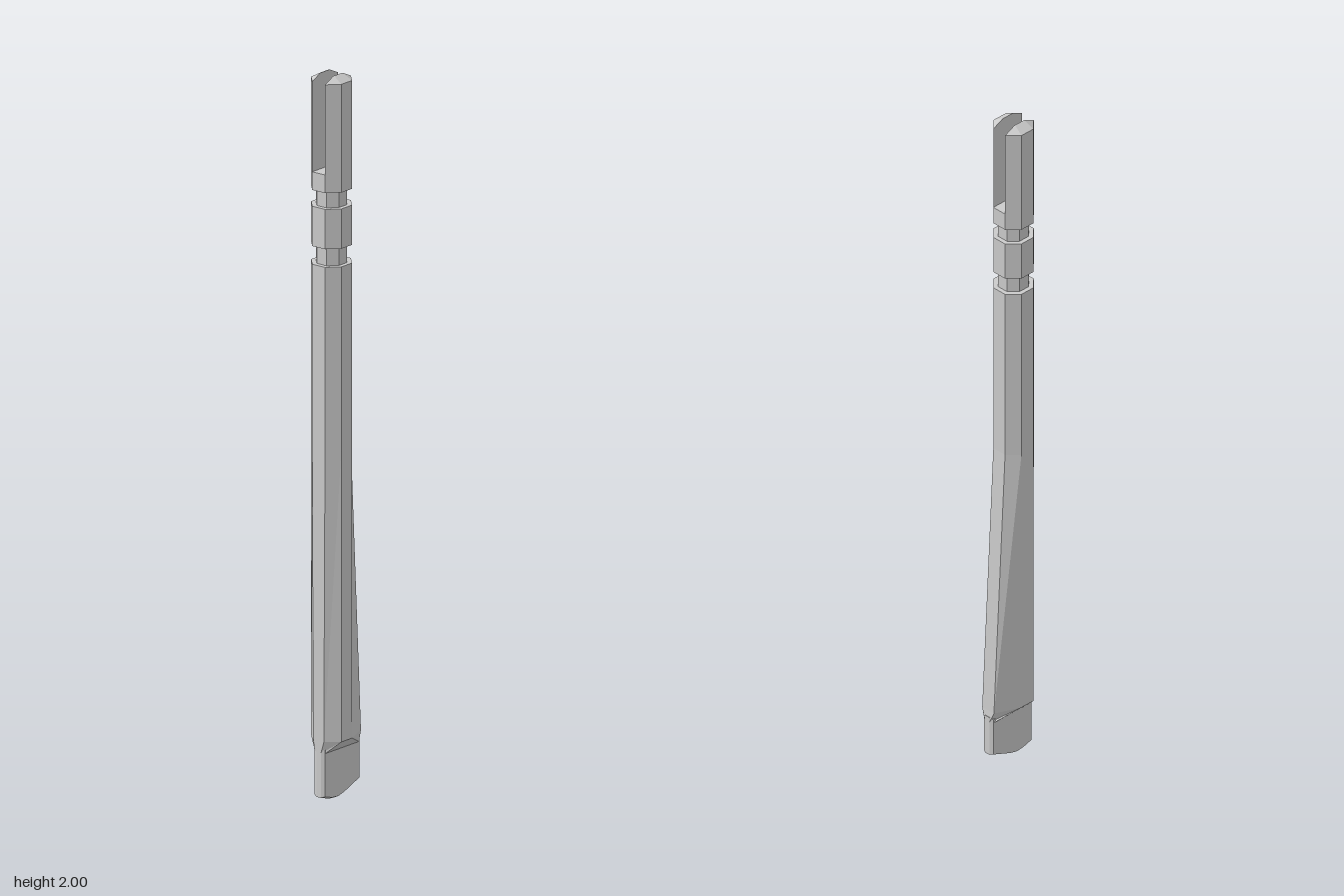
import * as THREE from 'three';

const material = new THREE.MeshStandardMaterial({ color: 0xcccccc, flatShading: true });

// Skin a list of rings of [x, y, z] (bottom to top, counterclockwise from above), capped at both ends
function loft(name, rings) {
  const pos = [];
  const tri = (a, b, c) => pos.push(...a, ...b, ...c);
  const n = rings[0].length;
  for (let r = 0; r < rings.length - 1; r++) {
    const lo = rings[r], hi = rings[r + 1];
    for (let i = 0; i < n; i++) {
      const j = (i + 1) % n;
      tri(lo[i], lo[j], hi[j]);
      tri(lo[i], hi[j], hi[i]);
    }
  }
  const bottom = rings[0], top = rings[rings.length - 1];
  for (let i = 1; i < n - 1; i++) {
    tri(bottom[0], bottom[i + 1], bottom[i]);
    tri(top[0], top[i], top[i + 1]);
  }
  const geo = new THREE.BufferGeometry();
  geo.setAttribute('position', new THREE.Float32BufferAttribute(pos, 3));
  geo.computeVertexNormals();
  const mesh = new THREE.Mesh(geo, material);
  mesh.name = name;
  return mesh;
}

// Mirror a half outline of [x, z], listed front to back, into a full ring at height y
function ring(y, half) {
  const right = half.map(([x, z]) => [x, y, z]);
  const left = half.map(([x, z]) => [-x, y, z]).reverse();
  return [...right, ...left];
}

const OCTAGON = [[0.022, 0.074], [0.052, 0.043], [0.052, -0.001], [0.022, -0.032]];
const GROOVE = OCTAGON.map(([x, z]) => [x * 0.76, 0.021 + (z - 0.021) * 0.76]);

export function createModel() {
  const model = new THREE.Group();
  model.name = 'slottedBit';

  // Shaft: octagonal above, swelling to the back below, then pinched into the blade
  model.add(loft('shaft', [
    ring(0.135, [[0.008, 0.074], [0.018, 0.068], [0.018, -0.07], [0.008, -0.076]]),
    ring(0.168, [[0.018, 0.074], [0.052, 0.043], [0.052, -0.001], [0.022, -0.073]]),
    ring(0.97, OCTAGON),
    ring(1.48, OCTAGON),
  ]));

  // Blade: thin bevelled plate with a rounded, slanted lower edge
  const outline = new THREE.Shape([
    [-0.076, 0.15], [-0.076, 0.032], [-0.01, 0.006], [0.015, 0], [0.04, 0.002], [0.074, 0.012], [0.074, 0.15],
  ].map(([z, y]) => new THREE.Vector2(z, y)));
  const bladeGeo = new THREE.ExtrudeGeometry(outline, {
    depth: 0.016, bevelThickness: 0.01, bevelSize: 0.005, bevelOffset: -0.005, bevelSegments: 1,
  });
  bladeGeo.translate(0, 0, -0.008).rotateY(-Math.PI / 2);
  const blade = new THREE.Mesh(bladeGeo, material);
  blade.name = 'blade';
  model.add(blade);

  // Two grooves with a collar between them, and the solid base of the fork
  const bands = [
    ['lowerGroove', 1.48, 1.53, GROOVE],
    ['collar', 1.53, 1.64, OCTAGON],
    ['upperGroove', 1.64, 1.685, GROOVE],
    ['forkBase', 1.685, 1.735, OCTAGON],
  ];
  for (const [name, y0, y1, half] of bands) model.add(loft(name, [ring(y0, half), ring(y1, half)]));

  // Fork: two prongs either side of an open slot, with chamfered tops
  const tip = [[0.022, 0.04], [0.024, 0.038], [0.024, 0.004], [0.022, 0.002]];
  for (const side of [1, -1]) {
    const section = (y, pts) => {
      const out = pts.map(([x, z]) => [side * x, y, z]);
      return side > 0 ? out : out.reverse();
    };
    model.add(loft(side > 0 ? 'leftProng' : 'rightProng', [
      section(1.735, OCTAGON), section(1.984, OCTAGON), section(2, tip),
    ]));
  }
  return model;
}
